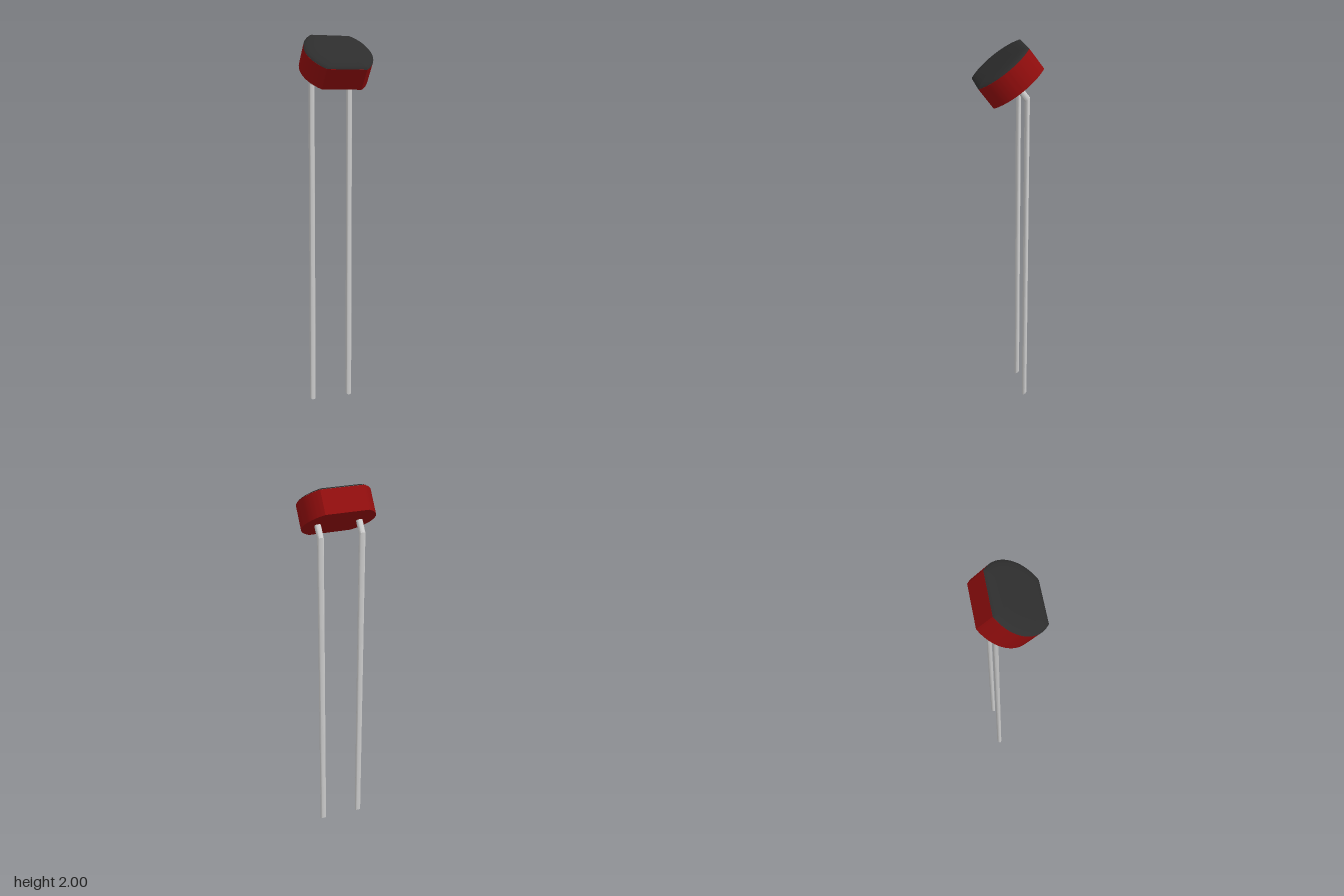
import * as THREE from 'three';
import { toCreasedNormals } from 'three/addons/utils/BufferGeometryUtils.js';

const SIN = 0.6, COS = 0.8;            // tilt of the head
const THICK = 0.124;
const FLAT_X = 0.11, FLAT_Z = 0.156;   // corners of the two flat sides
const ARC_C = 0.012, ARC_R = 0.198;    // rounded ends

// Disc outline with two flats and two round ends
function outline() {
  const a = Math.atan2(FLAT_Z, FLAT_X + ARC_C);
  const s = new THREE.Shape();
  s.absarc(-ARC_C, 0, ARC_R, -a, a, false);
  s.absarc(ARC_C, 0, ARC_R, Math.PI - a, Math.PI + a, false);
  s.closePath();
  return s;
}

// Shallow dome made of shrinking copies of the outline
function domeGeometry(shape) {
  const pts = shape.getPoints(20);
  if (pts[0].distanceTo(pts[pts.length - 1]) < 1e-5) pts.pop();
  const rings = [[1, 0], [0.97, 0.005], [0.92, 0.009], [0.83, 0.0125], [0.68, 0.015], [0.4, 0.016], [0, 0.016]];
  const n = pts.length, pos = [], idx = [];
  for (const [k, h] of rings) for (const p of pts) pos.push(p.x * k, h, -p.y * k);
  for (let r = 0; r < rings.length - 1; r++) {
    for (let i = 0; i < n; i++) {
      const a = r * n + i, b = r * n + (i + 1) % n;
      idx.push(a, b, b + n);
      if (r < rings.length - 2) idx.push(a, b + n, a + n);
    }
  }
  const g = new THREE.BufferGeometry();
  g.setAttribute('position', new THREE.Float32BufferAttribute(pos, 3));
  g.setIndex(idx);
  g.computeVertexNormals();
  return g;
}

// Bent wire: every section stays parallel to the head's underside
function leadGeometry() {
  const centres = [[0.01, -0.08], [1.753, -0.08], [1.8235, -0.0255]]; // [y, z]
  const g = new THREE.CylinderGeometry(0.0165, 0.0165, 2, 20, 2);
  const p = g.attributes.position;
  for (let i = 0; i < p.count; i++) {
    const [cy, cz] = centres[Math.round(p.getY(i)) + 1];
    const v = p.getZ(i);
    p.setXYZ(i, p.getX(i), cy - SIN * v, cz + COS * v);
  }
  return toCreasedNormals(g, 0.55);
}

export function createModel() {
  const model = new THREE.Group();
  model.name = 'twoLeadComponent';
  const add = (parent, name, geometry, color) => {
    const mesh = new THREE.Mesh(geometry, new THREE.MeshStandardMaterial({ color }));
    mesh.name = name;
    parent.add(mesh);
    return mesh;
  };

  // Tilted head: red case and dark domed face
  const head = new THREE.Group();
  head.name = 'head';
  head.position.set(0, 1.8075, -0.0375);
  head.rotation.x = Math.atan2(SIN, COS);
  model.add(head);
  const shape = outline();
  const body = new THREE.ExtrudeGeometry(shape, { depth: THICK, bevelEnabled: false, curveSegments: 20 });
  body.rotateX(-Math.PI / 2);
  add(head, 'case', toCreasedNormals(body, 0.4), 0x900d0d);
  add(head, 'face', domeGeometry(shape), 0x2d2d2d).position.y = THICK + 0.0005;

  // Pair of leads
  const lead = leadGeometry();
  add(model, 'leftLead', lead, 0xcccccc).position.x = 0.108;
  add(model, 'rightLead', lead, 0xcccccc).position.x = -0.108;
  return model;
}
